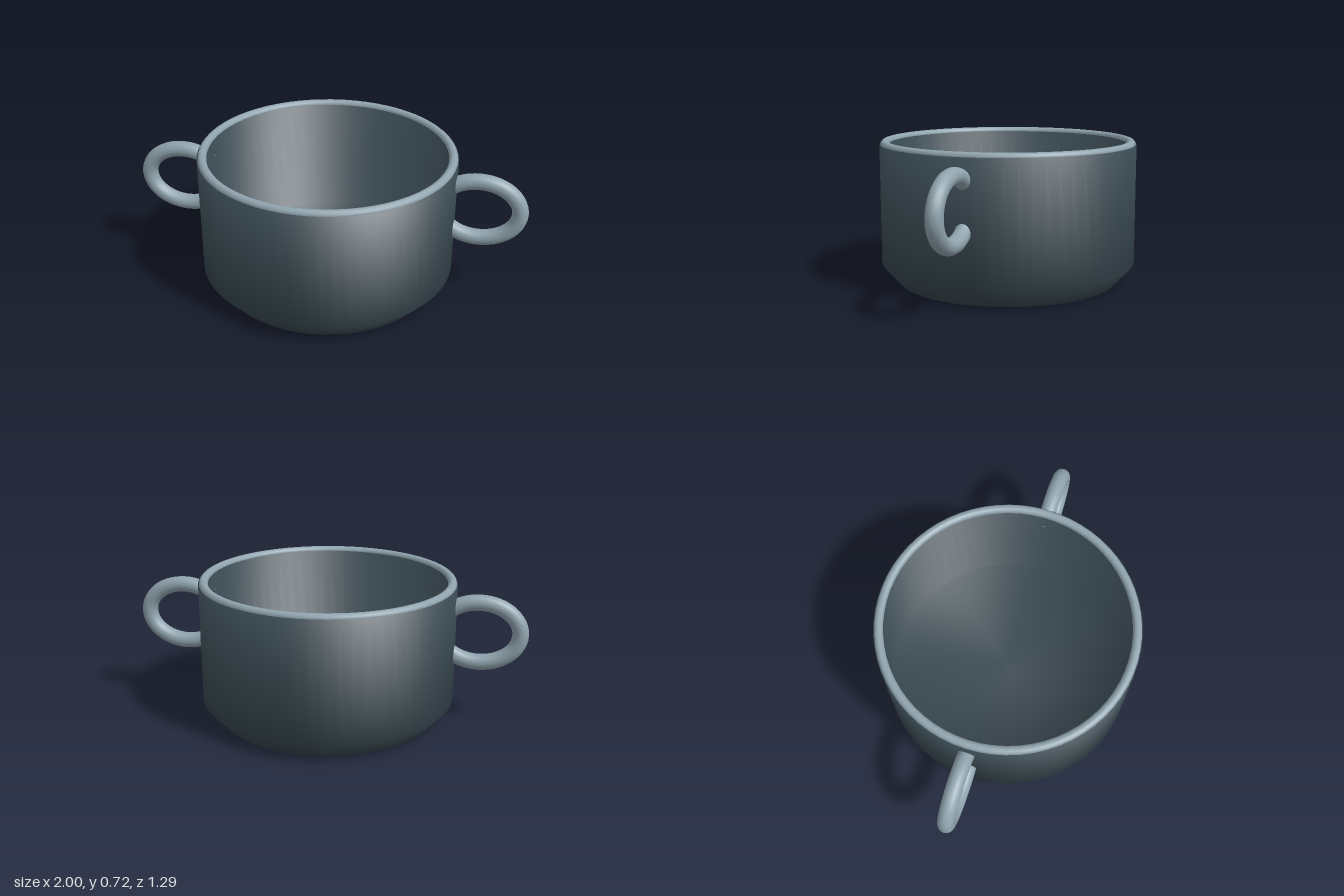
import * as THREE from 'three';

// Lathe whose smooth normals weigh neighbouring profile segments equally
function smoothLathe(points, segments) {
  const profile = points.map(([r, y]) => new THREE.Vector2(r, y));
  const geometry = new THREE.LatheGeometry(profile, segments);
  const faces = profile.slice(1).map((p, i) =>
    new THREE.Vector2(p.y - profile[i].y, profile[i].x - p.x).normalize());
  const last = faces.length - 1;
  const normals = profile.map((p, i) =>
    faces[Math.max(i - 1, 0)].clone().add(faces[Math.min(i, last)]).normalize());
  const attribute = geometry.attributes.normal;
  for (let i = 0; i < attribute.count; i++) {
    const angle = (Math.floor(i / profile.length) / segments) * Math.PI * 2;
    const n = normals[i % profile.length];
    attribute.setXYZ(i, n.x * Math.sin(angle), n.y, n.x * Math.cos(angle));
  }
  return geometry;
}

export function createModel() {
  const group = new THREE.Group();
  const slate = new THREE.MeshStandardMaterial({ color: 0x37474f });
  slate.name = 'dark slate';
  const steel = new THREE.MeshStandardMaterial({ color: 0x90a4ae });
  steel.name = 'light steel';

  const add = (name, geometry, material) => {
    const mesh = new THREE.Mesh(geometry, material);
    mesh.name = name;
    group.add(mesh);
    return mesh;
  };

  // Pot body: base, chamfer, outer wall, lip, inner wall and inner floor
  add('body', smoothLathe([
    [0, 0], [0.555, 0], [0.644, 0.1], [0.644, 0.7],
    [0.594, 0.7], [0.594, 0.1], [0, 0.1],
  ], 64), slate);

  // Rounded rim
  const rim = add('rim', new THREE.TorusGeometry(0.618, 0.022, 12, 64), steel);
  rim.rotation.x = Math.PI / 2;
  rim.position.y = 0.7;

  // Oval loop handles, their ends sunk into the wall
  const sweep = 2.389;
  for (const side of [1, -1]) {
    const points = [];
    for (let i = 0; i <= 24; i++) {
      const a = -sweep + (2 * sweep * i) / 24;
      points.push(new THREE.Vector3(side * (0.76 + 0.2 * Math.cos(a)), 0.478 + 0.153 * Math.sin(a), 0));
    }
    const path = new THREE.CatmullRomCurve3(points);
    add(side > 0 ? 'leftHandle' : 'rightHandle', new THREE.TubeGeometry(path, 48, 0.04, 16), steel);
  }

  return group;
}
